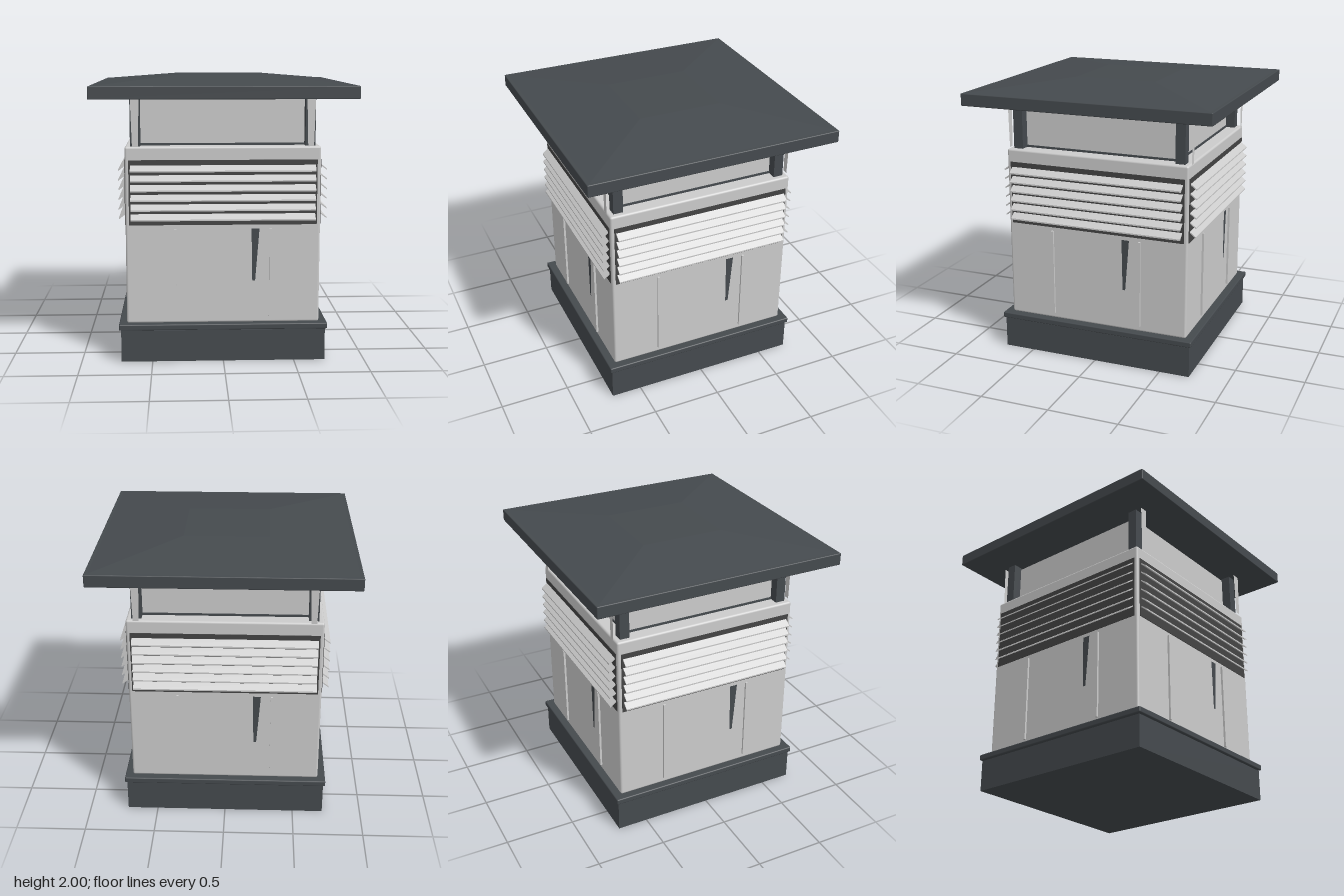
import * as THREE from 'three';
import { RoundedBoxGeometry } from 'three/addons/geometries/RoundedBoxGeometry.js';

const grey = new THREE.MeshStandardMaterial({ color: 0xcccccc });
const greyThin = new THREE.MeshStandardMaterial({ color: 0xcccccc, side: THREE.DoubleSide });
const dark = new THREE.MeshStandardMaterial({ color: 0x454a4e });
const darkThin = new THREE.MeshStandardMaterial({ color: 0x454a4e, side: THREE.DoubleSide });
const black = new THREE.MeshStandardMaterial({ color: 0x444444 });

function add(parent, name, geometry, material, x = 0, y = 0, z = 0) {
  const mesh = new THREE.Mesh(geometry, material);
  mesh.name = name;
  mesh.position.set(x, y, z);
  parent.add(mesh);
  return mesh;
}

// Square block from y0 to y1, optionally with softened edges
function block(parent, name, half, y0, y1, material, radius = 0) {
  const h = y1 - y0;
  const geometry = radius
    ? new RoundedBoxGeometry(half * 2, h, half * 2, 2, radius)
    : new THREE.BoxGeometry(half * 2, h, half * 2);
  return add(parent, name, geometry, material, 0, (y0 + y1) / 2, 0);
}

// Flat outline in the xy plane
function plate(points) {
  return new THREE.ShapeGeometry(new THREE.Shape(points.map(([x, y]) => new THREE.Vector2(x, y))));
}

// Louvres, seams and stain for one wall, built facing +z
function createWall() {
  const wall = new THREE.Group();
  wall.name = 'wallDetails';

  add(wall, 'louvreBacking', new THREE.BoxGeometry(1.31, 0.455, 0.01), black, 0, 1.2, 0.679);

  // Slat cross-section slopes down and outward
  const section = new THREE.Shape([
    new THREE.Vector2(0.67, 0.04), new THREE.Vector2(0.728, -0.004),
    new THREE.Vector2(0.728, 0.006), new THREE.Vector2(0.67, 0.05),
  ]);
  const slat = new THREE.ExtrudeGeometry(section, { depth: 1.285, bevelEnabled: false });
  slat.translate(0, 0, -0.6425).rotateY(-Math.PI / 2);
  for (let i = 0; i < 6; i++) add(wall, 'louvreSlat', slat, grey, 0, 1.012 + i * 0.068, 0);

  for (const x of [-0.335, 0.332]) {
    add(wall, 'panelSeam', new THREE.BoxGeometry(0.016, 0.635, 0.025), grey, x, 0.6275, 0.6825);
  }

  const stain = plate([[0.198, 0.945], [0.205, 0.57], [0.225, 0.57], [0.254, 0.945]]);
  add(wall, 'stainStreak', stain, darkThin, 0, 0, 0.684);
  return wall;
}

export function createModel() {
  const model = new THREE.Group();
  model.name = 'ventilationTower';

  // Plinth and flange
  block(model, 'plinth', 0.72, 0, 0.225, dark);
  block(model, 'plinthNeck', 0.705, 0.22, 0.24, dark);
  block(model, 'flange', 0.735, 0.23, 0.272, dark, 0.008);

  // Main housing with the same details on all four walls
  block(model, 'housing', 0.68, 0.268, 1.52, grey, 0.015);
  for (let i = 0; i < 4; i++) {
    const wall = createWall();
    wall.rotation.y = i * Math.PI / 2;
    model.add(wall);
  }

  // Inner duct below the cap
  block(model, 'ductCollar', 0.58, 1.515, 1.535, dark);
  block(model, 'duct', 0.573, 1.53, 1.842, grey);

  // Corner posts with tapered cover strips on the front and back
  const strip = plate([[-0.02, 1.52], [0.02, 1.52], [0.03, 1.855], [-0.03, 1.855]]);
  for (const x of [-1, 1]) {
    for (const z of [-1, 1]) {
      add(model, 'capPost', new THREE.BoxGeometry(0.07, 0.35, 0.07), dark, x * 0.608, 1.685, z * 0.608);
      add(model, 'postStrip', strip, greyThin, x * 0.607, 0, z * 0.686);
    }
  }

  // Overhanging cap with a shallow pitched top
  block(model, 'capSlab', 0.905, 1.855, 1.942, dark, 0.006);
  const pitch = new THREE.CylinderGeometry(0.3 * Math.SQRT2, 0.9 * Math.SQRT2, 0.06, 4, 1).toNonIndexed();
  pitch.rotateY(Math.PI / 4);
  pitch.computeVertexNormals();
  add(model, 'capPitch', pitch, dark, 0, 1.97, 0);

  return model;
}
